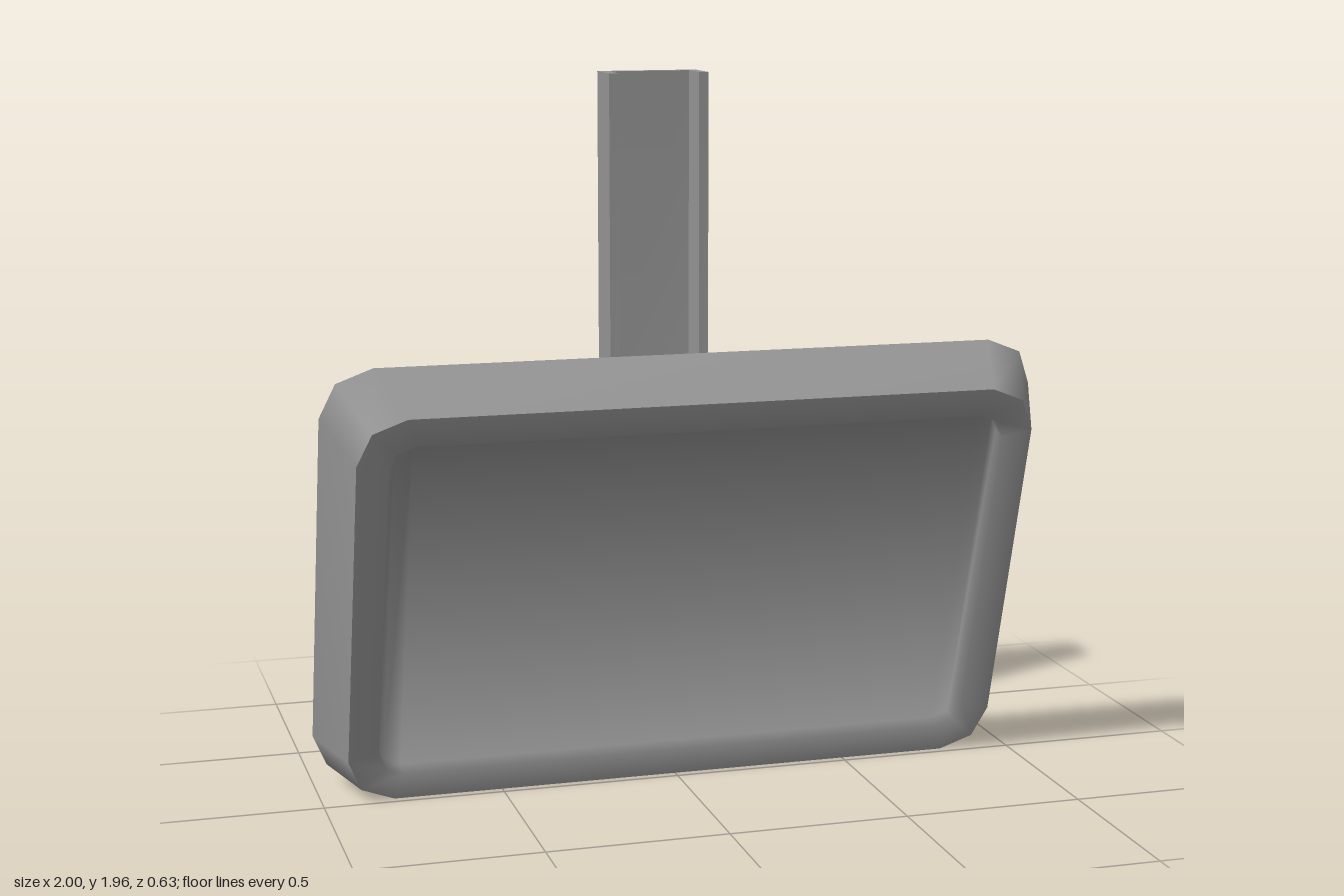
import * as THREE from 'three';
import { toCreasedNormals } from 'three/addons/utils/BufferGeometryUtils.js';

const grey = new THREE.MeshStandardMaterial({ color: 0x949494 });
grey.name = 'grey';

// Direction of the k-th point of a loop: three per corner
const angle = k => (Math.floor(k / 3) + (k % 3) / 2) * Math.PI / 2;

// Rounded rectangle of 12 points, counter-clockwise seen from +z
function loop(w, y0, y1, r, z) {
  const pts = [];
  for (let k = 0; k < 12; k++) {
    const c = Math.floor(k / 3), a = angle(k);
    const cx = (c === 0 || c === 3 ? 1 : -1) * (w - r);
    const cy = c < 2 ? y1 - r : y0 + r;
    pts.push([cx + r * Math.cos(a), cy + r * Math.sin(a), z]);
  }
  return pts;
}

// Indices of the band between two consecutive loops
function band(start) {
  const idx = [];
  for (let i = 0; i < 12; i++) {
    const a = start + i, b = start + (i + 1) % 12;
    idx.push(a, b, b + 12, a, b + 12, a + 12);
  }
  return idx;
}

// Indices of a flat cap, made of columns from top to bottom
function cap(start, flip) {
  const idx = [];
  for (let i = 0; i < 5; i++) {
    const [a, b, c, d] = [i, i + 1, 10 - i, 11 - i].map(v => v + start);
    if (flip) idx.push(a, c, b, a, d, c);
    else idx.push(a, b, c, a, c, d);
  }
  return idx;
}

function build(name, loops, idx) {
  const g = new THREE.BufferGeometry();
  g.setAttribute('position', new THREE.Float32BufferAttribute(loops.flat(2), 3));
  g.setIndex(idx);
  g.computeVertexNormals();
  const m = new THREE.Mesh(g, grey);
  m.name = name;
  return m;
}

// Side profile in (z, y), extruded along x and centred at x
function profile(name, points, width, x = 0) {
  const shape = new THREE.Shape(points.map(p => new THREE.Vector2(p[0], p[1])));
  const g = new THREE.ExtrudeGeometry(shape, { depth: width, bevelEnabled: false });
  g.translate(0, 0, -width / 2).rotateY(-Math.PI / 2).translate(x, 0, 0);
  const m = new THREE.Mesh(toCreasedNormals(g, 0.6), grey);
  m.name = name;
  return m;
}

// Bent line of the bracket at a given radius, from the top down to the plate
function bend(r) {
  const cz = -0.105, cy = 1.02, pts = [[cz - r, 1.96]];
  for (let i = 0; i <= 6; i++) {
    const a = Math.PI + i / 6 * Math.PI / 2;
    pts.push([cz + r * Math.cos(a), cy + r * Math.sin(a)]);
  }
  const y = cy - r;
  pts.push([0.013 + (y - 0.94) * 0.3, y]);
  return pts;
}

export function createModel() {
  const model = new THREE.Group();

  // Tilted panel: tapered sides, flat back and a shallow sunken front
  const panel = new THREE.Group();
  panel.name = 'panel';
  panel.position.set(0, 0.012, -0.235);
  panel.rotation.x = 0.291;
  const back = loop(1, 0, 1.27, 0.14, 0);
  const front = loop(0.933, 0.05, 1.22, 0.13, 0.204);
  const lip = loop(0.85, 0.13, 1.14, 0.07, 0.204);
  const floor = loop(0.848, 0.132, 1.138, 0.068, 0.159);
  panel.add(build('panelSides', [back, front], band(0)));
  panel.add(build('panelBack', [back], cap(0, true)));

  // Rim, wall and floor blend softly: normals lean inward more with each loop
  const face = build('panelFace', [front, lip, floor], [...band(0), ...band(12), ...cap(24, false)]);
  const normals = face.geometry.attributes.normal;
  [0, 0.4, 1].forEach((lean, ring) => {
    for (let k = 0; k < 12; k++) {
      const a = angle(k);
      const n = new THREE.Vector3(-lean * Math.cos(a), -lean * Math.sin(a), 1).normalize();
      normals.setXYZ(ring * 12 + k, n.x, n.y, n.z);
    }
  });
  panel.add(face);
  model.add(panel);

  // Mounting plate on the back of the panel
  model.add(profile('mountPlate', [[0.074, 1.035], [0.037, 1.035], [-0.058, 0.72], [-0.02, 0.72]], 0.48));

  // Bent U-channel bracket, open towards the inside of the bend
  const bracket = new THREE.Group();
  bracket.name = 'bracket';
  bracket.add(profile('bracketWeb', [...bend(0.21), ...bend(0.182).reverse()], 0.23));
  for (const s of [-1, 1]) {
    bracket.add(profile('bracketFlange', [...bend(0.21), ...bend(0.08).reverse()], 0.027, s * 0.1285));
  }
  model.add(bracket);
  return model;
}
